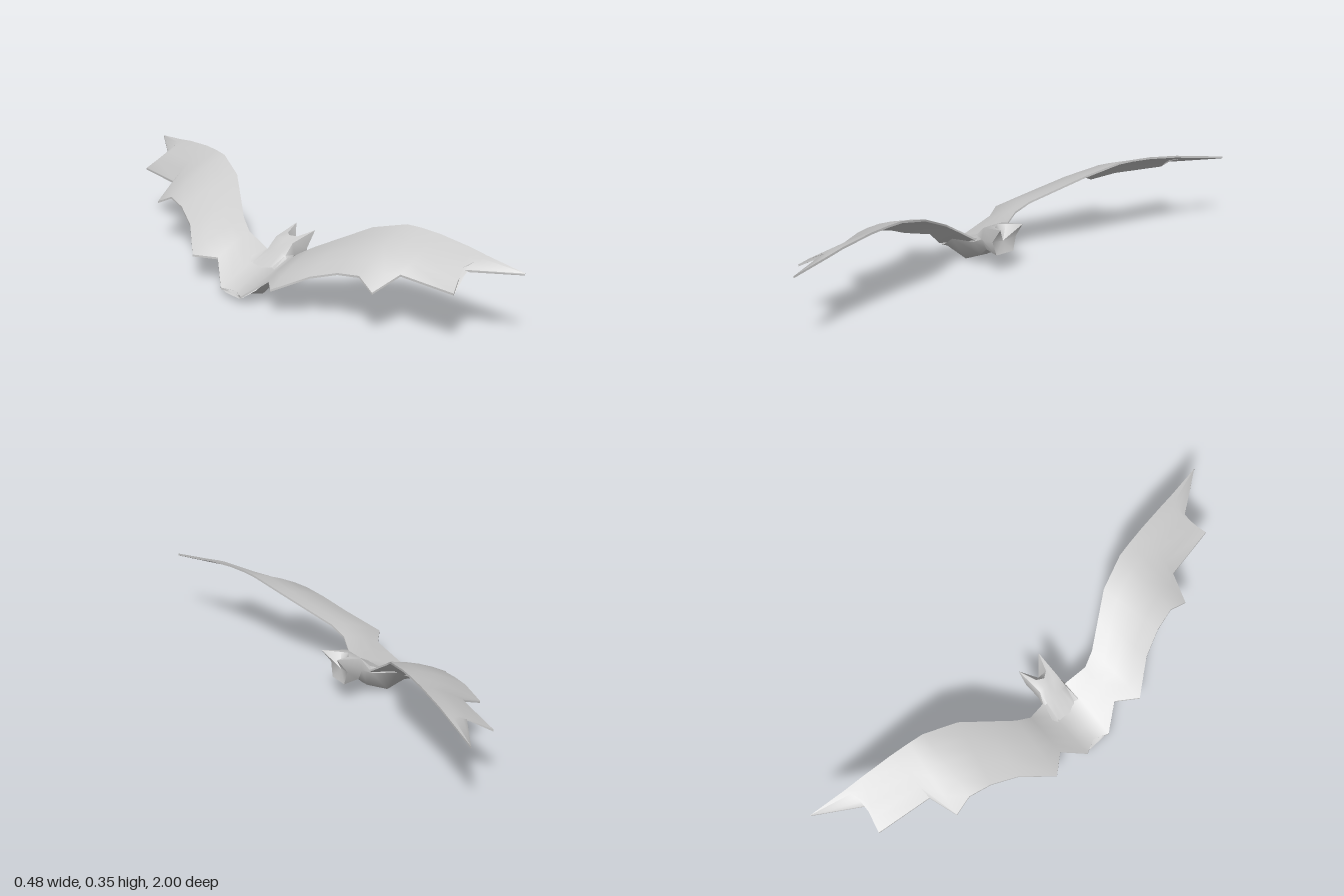
import * as THREE from 'three';
import { toCreasedNormals } from 'three/addons/utils/BufferGeometryUtils.js';

const material = new THREE.MeshStandardMaterial({ color: 0xcccccc, side: THREE.DoubleSide });

// Skin a list of closed rings (counter-clockwise seen from the end) and cap both ends
function loft(name, rings, startCentre, endCentre, crease) {
  const n = rings[0].length;
  const pos = [...rings.flat(), startCentre, endCentre].flat();
  const start = rings.length * n, end = start + 1;
  const index = [];
  for (let i = 0; i < rings.length - 1; i++) {
    for (let j = 0; j < n; j++) {
      const a = i * n + j, b = i * n + (j + 1) % n;
      index.push(a, b, b + n, a, b + n, a + n);
    }
  }
  const last = (rings.length - 1) * n;
  for (let j = 0; j < n; j++) {
    const k = (j + 1) % n;
    index.push(start, k, j, end, last + j, last + k);
  }
  const geometry = new THREE.BufferGeometry();
  geometry.setAttribute('position', new THREE.Float32BufferAttribute(pos, 3));
  geometry.setIndex(index);
  const mesh = new THREE.Mesh(toCreasedNormals(geometry, crease), material);
  mesh.name = name;
  return mesh;
}

// Wings and back: one thin curved sheet from tip to tip
function createWings() {
  // leading edge point, trailing edge point, from the spine out to the tip
  const half = [
    [[0, 0.13, 0], [-0.215, 0.035, 0]],
    [[0, 0.127, 0.065], [-0.24, 0.037, 0.057]],
    [[-0.02, 0.18, 0.145], [-0.18, 0.115, 0.145]],
    [[0, 0.215, 0.2], [-0.24, 0.12, 0.222]],
    [[0.06, 0.265, 0.29], [-0.155, 0.185, 0.34]],
    [[0.12, 0.315, 0.38], [-0.115, 0.22, 0.44]],
    [[0.165, 0.353, 0.51], [-0.095, 0.232, 0.53]],
    [[0.175, 0.355, 0.57], [-0.105, 0.195, 0.605]],
    [[0.187, 0.352, 0.65], [0, 0.245, 0.64]],
    [[0.205, 0.336, 0.78], [0.035, 0.235, 0.86]],
    [[0.215, 0.322, 0.85], [0.12, 0.287, 0.82]],
    [[0.24, 0.297, 1], [0.236, 0.296, 0.995]],
  ];
  const flip = (p) => [p[0], p[1], -p[2]];
  const rows = [...half.slice(1).reverse().map((r) => r.map(flip)), ...half];
  const steps = 4, thickness = 0.008;
  const rings = rows.map(([front, back]) => {
    const chord = Math.abs(front[0] - back[0]);
    const arch = Math.abs(front[2]) > 0.1 ? chord * 0.05 : 0;
    const top = [];
    for (let s = 0; s <= steps; s++) {
      const t = s / steps;
      const p = front.map((v, k) => v + (back[k] - v) * t);
      p[1] += arch * 4 * t * (1 - t);
      top.push(p);
    }
    const under = top.map(([x, y, z]) => [x, y - thickness, z]).reverse();
    return [...top, ...under];
  });
  const tip = [0.238, 0.293, 1];
  return loft('wings', rings, flip(tip), tip, 0.8);
}

// Body and head with ears: half outlines from belly to back, mirrored into rings
function createBody() {
  const section = (x, ...yz) => yz.map(([y, z]) => [x, y, z]);
  const halves = [
    section(-0.232, [0.02, 0], [0.021, 0.04], [0.028, 0.055], [0.035, 0.05], [0.033, 0.025], [0.03, 0]),
    section(-0.18, [0.024, 0], [0.026, 0.035], [0.05, 0.075], [0.052, 0.06], [0.048, 0.03], [0.045, 0]),
    section(-0.105, [0, 0], [0.002, 0.03], [0.1, 0.095], [0.082, 0.06], [0.08, 0.03], [0.08, 0]),
    section(-0.01, [0.045, 0], [0.047, 0.03], [0.11, 0.065], [0.135, 0.05], [0.14, 0.025], [0.142, 0]),
    section(0.03, [0.083, 0], [0.084, 0.033], [0.13, 0.056], [0.175, 0.047], [0.176, 0.025], [0.176, 0]),
    // face rim: muzzle, cheek, ear tip, inner ear, crown
    [[0.1, 0.083, 0], [0.1, 0.083, 0.04], [0.096, 0.14, 0.056], [0.14, 0.2, 0.053], [0.072, 0.185, 0.026], [0.055, 0.187, 0]],
  ];
  const rings = halves.map((h) => [
    ...h.map(([x, y, z]) => [x, y, -z]),
    ...h.slice(1, -1).reverse(),
  ]);
  return loft('body', rings, [-0.22, 0.027, 0], [0.088, 0.13, 0], 1.0);
}

export function createModel() {
  const group = new THREE.Group();
  group.name = 'bat';
  group.add(createWings(), createBody());
  return group;
}
